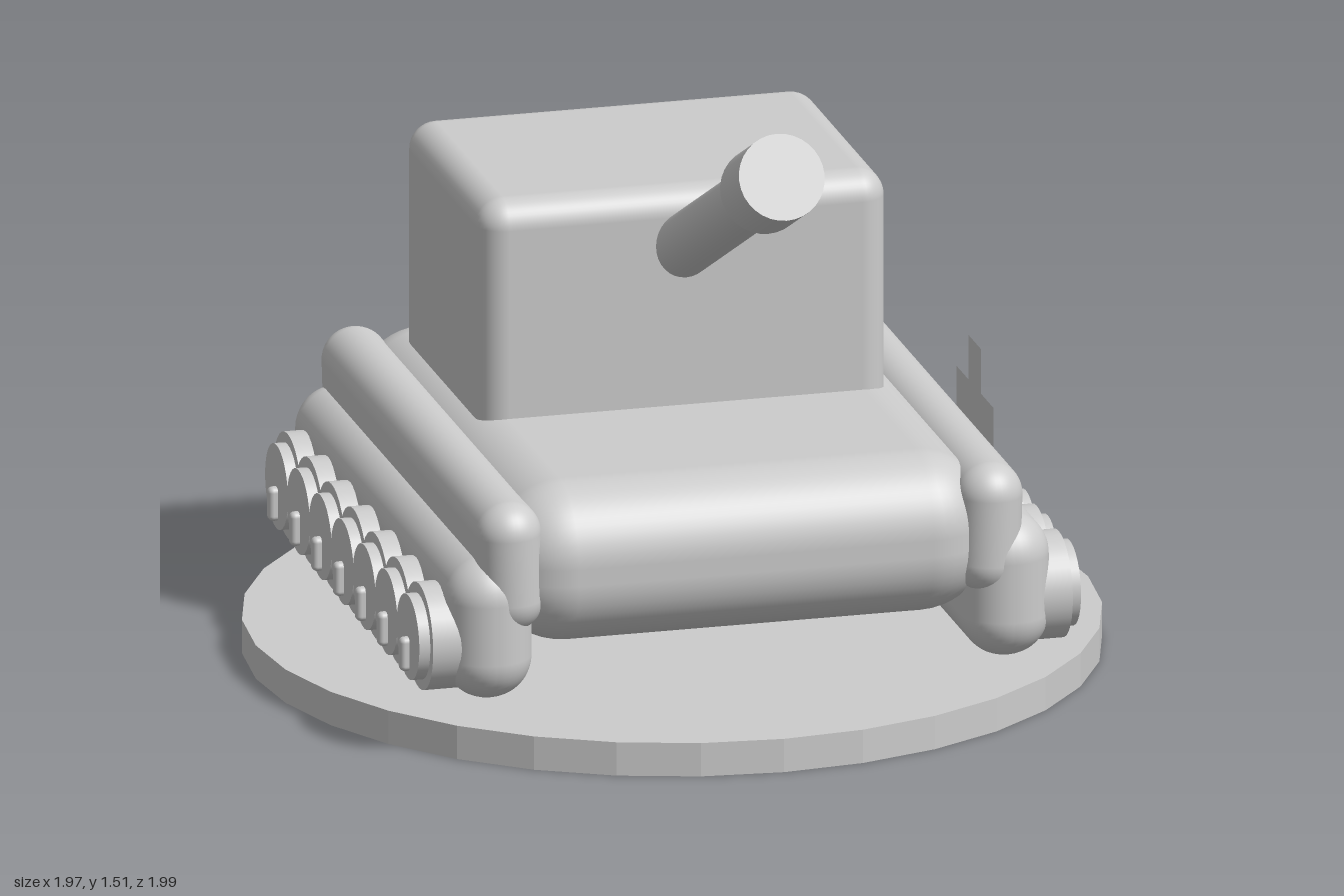
import * as THREE from 'three';
import { RoundedBoxGeometry } from 'three/addons/geometries/RoundedBoxGeometry.js';

export function createModel() {
  const model = new THREE.Group();
  model.name = 'toyTank';
  const grey = new THREE.MeshStandardMaterial({ color: 0xcccccc });
  grey.name = 'plainGrey';
  const greyPlate = new THREE.MeshStandardMaterial({ color: 0xcccccc, side: THREE.DoubleSide });
  greyPlate.name = 'plainGreyPlate';

  const add = (name, geometry, x, y, z, parent = model, material = grey) => {
    const mesh = new THREE.Mesh(geometry, material);
    mesh.name = name;
    mesh.position.set(x, y, z);
    parent.add(mesh);
    return mesh;
  };

  // Faceted display base
  const base = new THREE.CylinderGeometry(0.985, 0.985, 0.08, 32).toNonIndexed();
  base.computeVertexNormals();
  add('base', base, 0, 0.04, -0.015);

  // Hull and turret
  add('hull', new RoundedBoxGeometry(1.18, 0.38, 1.49, 6, 0.17), 0, 0.425, -0.015);
  add('turret', new RoundedBoxGeometry(0.965, 0.63, 0.7, 5, 0.065), 0, 0.815, -0.24);

  // Raised gun, built along +z and pitched up
  const gun = new THREE.Group();
  gun.name = 'gun';
  gun.position.set(0, 1.0, 0.11);
  gun.rotation.x = -0.466;
  model.add(gun);
  const tube = (radius, length) =>
    new THREE.CylinderGeometry(radius, radius, length, 32).rotateX(Math.PI / 2);
  add('barrel', tube(0.0715, 0.96), 0, 0, 0.36, gun);
  add('muzzle', tube(0.101, 0.185), 0, 0, 0.847, gun);

  // Track units on both sides
  const fenderGeo = new RoundedBoxGeometry(0.155, 0.31, 1.49, 6, 0.077);
  const trackGeo = new RoundedBoxGeometry(0.205, 0.34, 1.49, 6, 0.1);
  const disc = (radius, length) =>
    new THREE.CylinderGeometry(radius, radius, length, 32).rotateZ(Math.PI / 2);
  const wheelGeo = disc(0.125, 0.12);
  const hubGeo = disc(0.1, 0.1);
  const boltGeo = new RoundedBoxGeometry(0.05, 0.08, 0.03, 3, 0.012);
  for (const side of [1, -1]) {
    const unit = new THREE.Group();
    unit.name = side > 0 ? 'leftTrackUnit' : 'rightTrackUnit';
    model.add(unit);
    add('fender', fenderGeo, side * 0.567, 0.445, -0.015, unit).rotation.z = -side * 0.03;
    add('track', trackGeo, side * 0.612, 0.3, -0.015, unit);
    for (let i = 0; i < 7; i++) {
      const z = 0.572 - i * 0.1925;
      add('wheel', wheelGeo, side * 0.697, 0.267, z, unit);
      add('hub', hubGeo, side * 0.733, 0.267, z, unit);
      add('bolt', boltGeo, side * 0.779, 0.227, z, unit);
    }
  }

  // Flat cross plate on the left flank
  const a = 0.056, b = 0.163;
  const cross = new THREE.Shape([
    [-a, -b], [a, -b], [a, -a], [b, -a], [b, a], [a, a],
    [a, b], [-a, b], [-a, a], [-b, a], [-b, -a], [-a, -a],
  ].map(([u, v]) => new THREE.Vector2(u, v)));
  const crossGeo = new THREE.ShapeGeometry(cross).rotateY(Math.PI / 2);
  add('sideCross', crossGeo, 0.745, 0.467, -0.12, model, greyPlate);

  return model;
}
